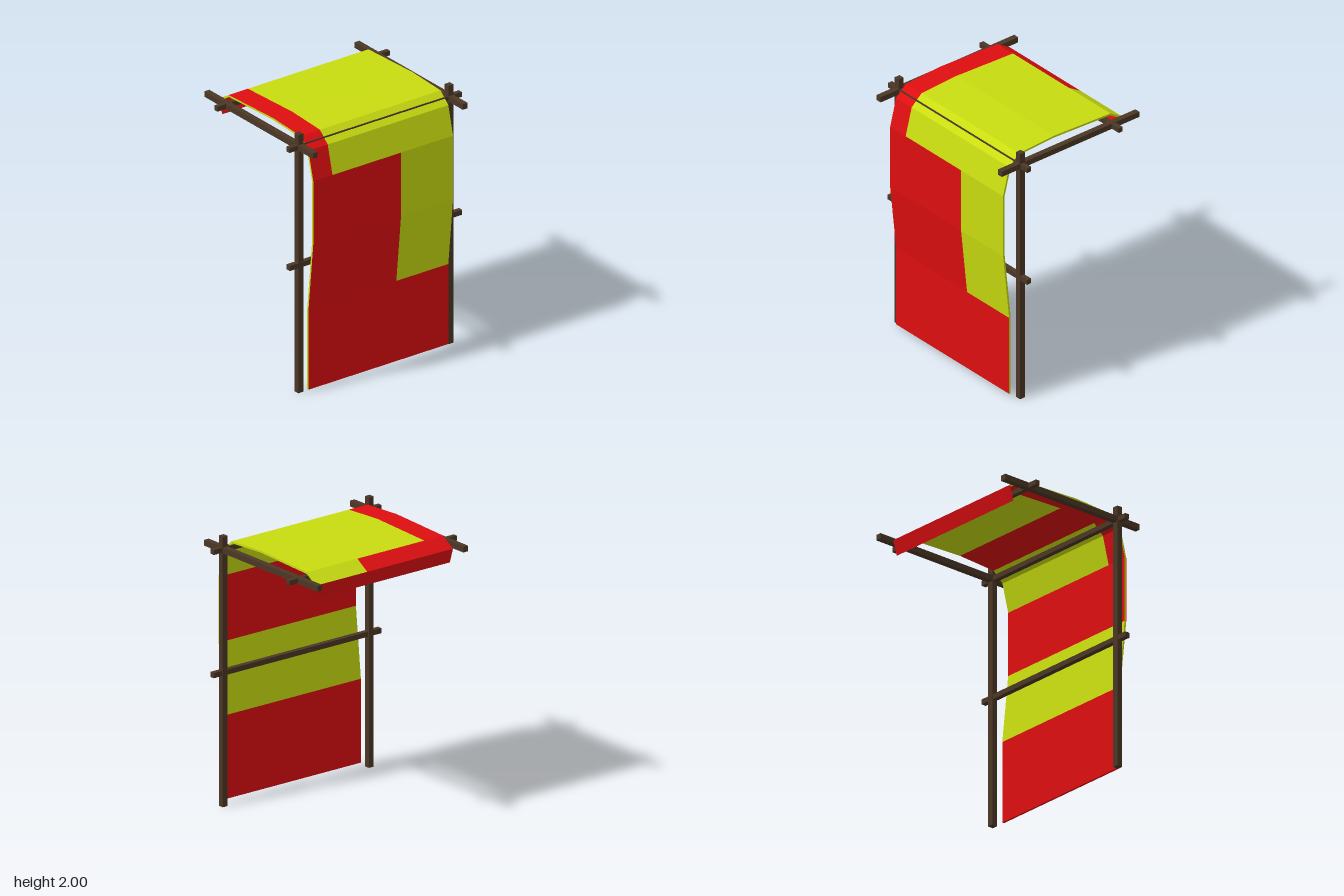
import * as THREE from 'three';

const mat = (name, color, side = THREE.FrontSide) => {
  const m = new THREE.MeshStandardMaterial({ color, side });
  m.name = name;
  return m;
};

export function createModel() {
  const root = new THREE.Group();
  root.name = 'fabricCanopy';
  const wood = mat('darkWood', 0x4b3725);
  const red = mat('redCloth', 0xde0e10, THREE.DoubleSide);
  const lime = mat('limeCloth', 0xc8dc10, THREE.DoubleSide);

  // Wooden frame
  const frame = new THREE.Group();
  frame.name = 'frame';
  root.add(frame);
  const beam = (name, size, pos) => {
    const m = new THREE.Mesh(new THREE.BoxGeometry(...size), wood);
    m.name = name;
    m.position.set(...pos);
    frame.add(m);
  };
  for (const [label, s] of [['left', 1], ['right', -1]]) {
    beam(label + 'Post', [0.044, 2, 0.044], [s * 0.657, 1, 0.44]);
    beam(label + 'RoofRail', [0.043, 0.042, 1.256], [s * 0.656, 1.9, 0]);
  }
  beam('frontCrossbar', [1.508, 0.037, 0.037], [0, 1.9, 0.442]);
  beam('backCrossbar', [1.508, 0.037, 0.035], [0, 1.9, -0.393]);
  beam('middleCrossbar', [1.508, 0.038, 0.038], [0, 0.988, 0.444]);

  // Cloth profile as outer [z, y] points, from the front hem up and over the roof
  const outer = [
    [0.5, 0.025], [0.5, 0.645], [0.555, 1.17], [0.555, 1.66], [0.5, 1.875],
    [0.41, 1.955], [0.09, 1.972], [-0.425, 1.953], [-0.534, 1.885],
  ];
  const thickness = 0.015;
  const normals = outer.slice(1).map(([z, y], i) => {
    const v = new THREE.Vector2(y - outer[i][1], outer[i][0] - z);
    return v.normalize();
  });
  // Inner points sit one mitred thickness behind the outer ones
  const inner = outer.map(([z, y], i) => {
    const a = normals[Math.max(i - 1, 0)];
    const b = normals[Math.min(i, normals.length - 1)];
    const n = a.clone().add(b).normalize();
    const d = thickness / n.dot(b);
    return [z - n.x * d, y - n.y * d];
  });

  const X0 = -0.618, X1 = 0.605;
  const quad = (parent, name, corners, material) => {
    const g = new THREE.BufferGeometry();
    g.setAttribute('position', new THREE.Float32BufferAttribute(corners.flat(), 3));
    g.setIndex([0, 1, 2, 0, 2, 3]);
    g.computeVertexNormals();
    const m = new THREE.Mesh(g, material);
    m.name = name;
    parent.add(m);
  };
  // Cloth face between two profile points, red up to x = split and lime beyond
  const face = (parent, name, p, q, split, flip) => {
    for (const [a, b, m] of [[X0, split, red], [split, X1, lime]]) {
      if (b - a < 0.001) continue;
      const [l, r] = flip ? [b, a] : [a, b];
      quad(parent, name + (m === red ? 'Red' : 'Lime'),
        [[l, p[1], p[0]], [r, p[1], p[0]], [r, q[1], q[0]], [l, q[1], q[0]]], m);
    }
  };

  // Segment name, red limit outside, red limit inside
  const segments = [
    ['lowerCurtain', X1, X1],
    ['middleCurtain', 0.15, X0],
    ['upperCurtain', 0.15, X1],
    ['topCurtain', -0.45, -0.45],
    ['frontFold', -0.45, -0.45],
    ['frontRoof', -0.45, X1],
    ['backRoof', -0.45, -0.45],
    ['backSlope', 0.153, X1],
  ];
  segments.forEach(([name, outSplit, inSplit], i) => {
    const part = new THREE.Group();
    part.name = name;
    root.add(part);
    const [p, q, r, s] = [outer[i], outer[i + 1], inner[i + 1], inner[i]];
    face(part, name + 'Outside', p, q, outSplit, false);
    face(part, name + 'Inside', s, r, inSplit, true);
    // Side hems
    for (const x of [X0, X1]) {
      const c = [p, s, r, q].map(([z, y]) => [x, y, z]);
      quad(part, name + 'Hem', x > 0 ? c : c.reverse(), lime);
    }
  });

  // End hems and the thin flap hanging at the back
  const end = outer.length - 1;
  face(root, 'bottomHem', inner[0], outer[0], X1, false);
  face(root, 'backHem', outer[end], inner[end], X1, false);
  face(root, 'backFlap', outer[end], [-0.5, 1.775], X1, false);

  return root;
}
